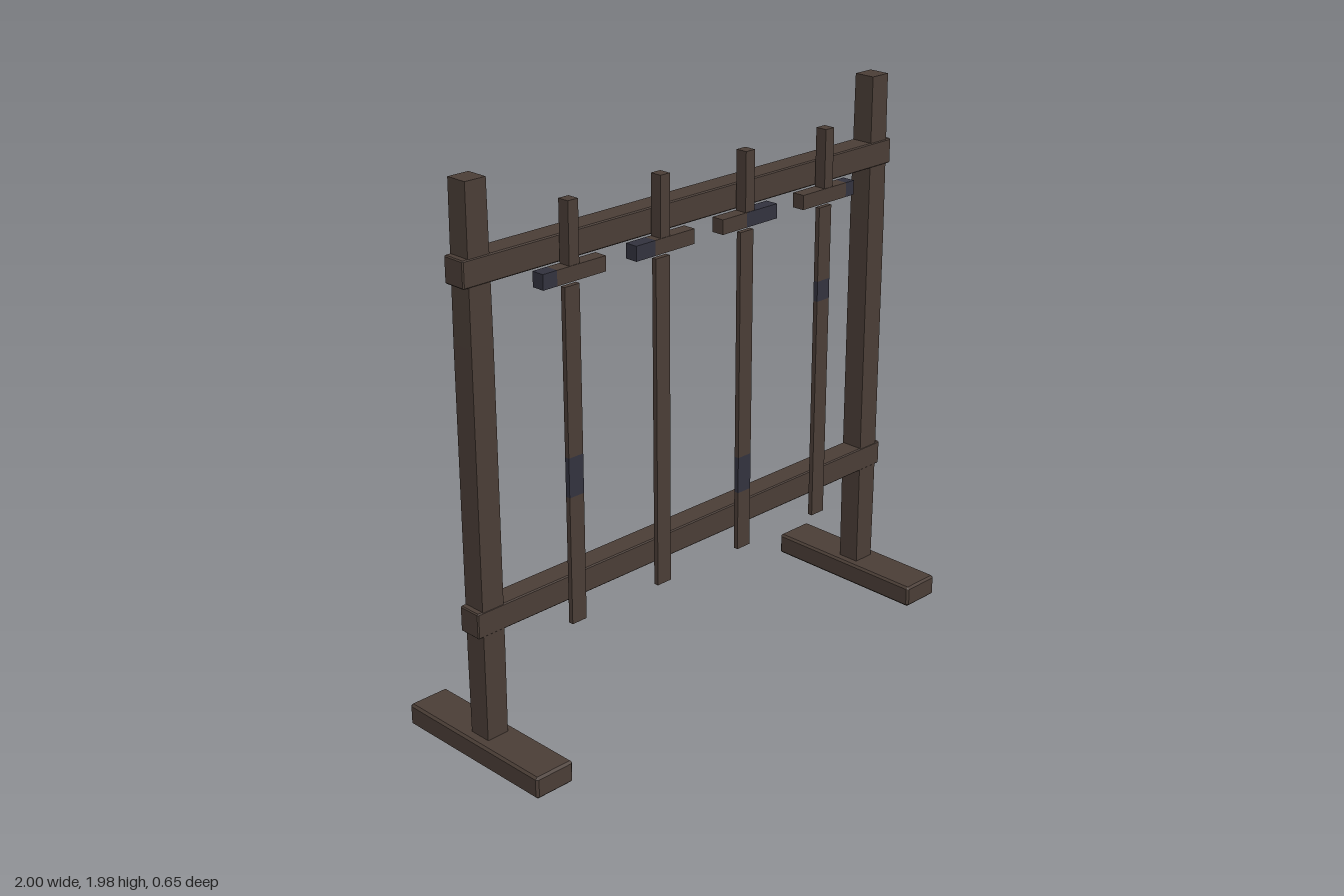
import * as THREE from 'three';
import { ConvexGeometry } from 'three/addons/geometries/ConvexGeometry.js';

const wood = new THREE.MeshStandardMaterial({ color: 0x4a3d36, flatShading: true });
wood.name = 'dark wood';
const stain = new THREE.MeshStandardMaterial({ color: 0x32323e, flatShading: true });
stain.name = 'navy stain';

function addMesh(parent, name, geometry, material, x, y, z) {
  const mesh = new THREE.Mesh(geometry, material);
  mesh.name = name;
  mesh.position.set(x, y, z);
  parent.add(mesh);
  return mesh;
}

// Box given by its lower and upper limits
function addBox(parent, name, material, [x0, x1], [y0, y1], [z0, z1]) {
  return addMesh(parent, name, new THREE.BoxGeometry(x1 - x0, y1 - y0, z1 - z0), material,
    (x0 + x1) / 2, (y0 + y1) / 2, (z0 + z1) / 2);
}

// Box with all edges cut by c
function chamferedBox(w, h, d, c) {
  const points = [];
  for (const sx of [-1, 1]) for (const sy of [-1, 1]) for (const sz of [-1, 1]) {
    const [x, y, z] = [w / 2, h / 2, d / 2];
    points.push(
      new THREE.Vector3(sx * x, sy * (y - c), sz * (z - c)),
      new THREE.Vector3(sx * (x - c), sy * y, sz * (z - c)),
      new THREE.Vector3(sx * (x - c), sy * (y - c), sz * z));
  }
  return new ConvexGeometry(points);
}

// Post that is slightly slimmer toward both ends
function postGeometry() {
  const geometry = new THREE.BoxGeometry(0.087, 1.92, 0.086, 1, 3, 1).toNonIndexed();
  const p = geometry.attributes.position;
  const rows = [0.06, 0.38, 1.45, 1.98];
  const scales = [0.97, 1, 1, 0.93];
  for (let i = 0; i < p.count; i++) {
    const row = Math.round((p.getY(i) + 0.96) / 0.64);
    p.setXYZ(i, p.getX(i) * scales[row], rows[row], p.getZ(i) * scales[row]);
  }
  geometry.computeVertexNormals();
  return geometry;
}

// Bar split along one axis so that the stained stretch is its own mesh
function addStainedBar(parent, name, ranges, axis, patch) {
  const [start, end] = ranges[axis];
  const pieces = patch
    ? [[start, patch[0], wood], [patch[0], patch[1], stain], [patch[1], end, wood]]
    : [[start, end, wood]];
  for (const [a, b, material] of pieces) {
    if (b - a < 0.001) continue;
    const r = ranges.slice();
    r[axis] = [a, b];
    addBox(parent, material === stain ? name + 'Stain' : name, material, ...r);
  }
}

export function createModel() {
  const model = new THREE.Group();
  model.name = 'swordRack';

  // Feet and posts
  for (const [side, s] of [['left', 1], ['right', -1]]) {
    addMesh(model, side + 'Foot', chamferedBox(0.155, 0.08, 0.655, 0.008), wood, s * 0.9225, 0.04, 0);
    addMesh(model, side + 'Post', postGeometry(), wood, s * 0.921, 0, 0);
  }

  // Rails running through the posts
  for (const [name, y] of [['lowerRail', 0.51], ['upperRail', 1.695]]) {
    addMesh(model, name, chamferedBox(1.972, 0.091, 0.089, 0.004), wood, 0, y, 0);
  }

  // Wooden swords hanging in front, with stained stretches
  const swords = [
    { x: -0.592, blade: [0.86, 1.0], guard: [-0.723, -0.665] },
    { x: -0.199, blade: null, guard: [-0.33, -0.245] },
    { x: 0.195, blade: [0.62, 0.755], guard: [0.18, 0.326] },
    { x: 0.59, blade: [1.235, 1.31], guard: [0.68, 0.721] },
  ];
  swords.forEach(({ x, blade, guard }, i) => {
    const sword = new THREE.Group();
    sword.name = 'sword' + (i + 1);
    model.add(sword);
    addStainedBar(sword, 'blade', [[x - 0.031, x + 0.031], [0.4, 1.58], [0.07, 0.088]], 1, blade);
    addStainedBar(sword, 'guard', [[x - 0.131, x + 0.131], [1.598, 1.65], [0.054, 0.102]], 0, guard);
    addBox(sword, 'handle', wood, [x - 0.021, x + 0.021], [1.65, 1.86], [0.056, 0.1]);
  });

  return model;
}
